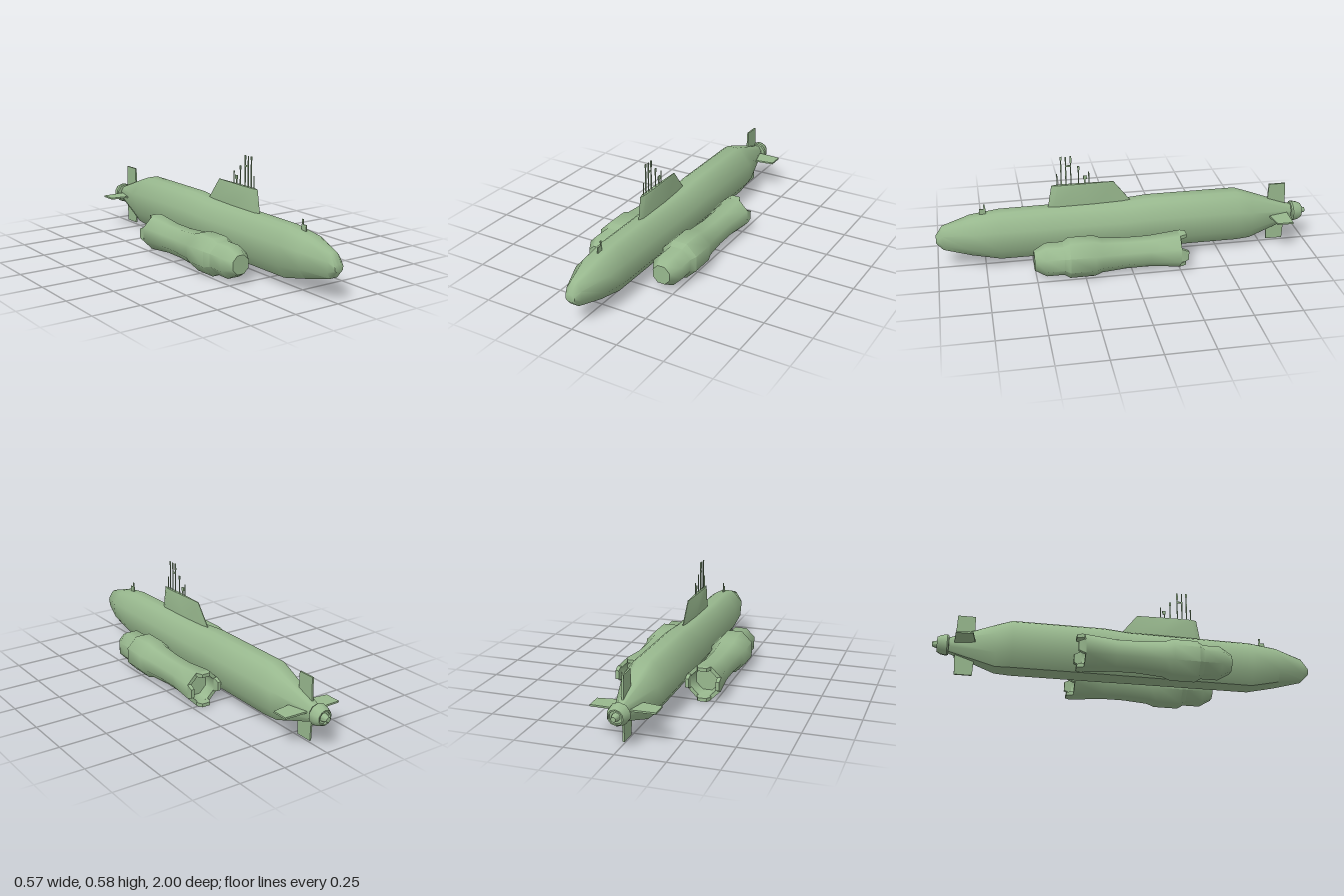
import * as THREE from 'three';
import { toCreasedNormals } from 'three/addons/utils/BufferGeometryUtils.js';

const material = new THREE.MeshStandardMaterial({ color: 0x98b88e });

function add(parent, name, geometry, x = 0, y = 0, z = 0) {
  const mesh = new THREE.Mesh(geometry, material);
  mesh.name = name;
  mesh.position.set(x, y, z);
  parent.add(mesh);
  return mesh;
}

// Skins counter-clockwise rings running front to back, and caps both ends
function loft(rings, crease = 0.9) {
  const n = rings[0].length, last = (rings.length - 1) * n, index = [];
  for (let i = 0; i < rings.length - 1; i++) {
    for (let j = 0; j < n; j++) {
      const a = i * n + j, b = i * n + (j + 1) % n, d = a + n, c = b + n;
      index.push(a, d, b, b, d, c);
    }
  }
  for (let j = 1; j < n - 1; j++) {
    index.push(0, j, j + 1, last, last + j + 1, last + j);
  }
  const g = new THREE.BufferGeometry();
  g.setAttribute('position', new THREE.Float32BufferAttribute(rings.flat(2), 3));
  g.setIndex(index);
  return toCreasedNormals(g, crease);
}

// Regular ring whose flat sides lie at distance `apothem` from the axis
function ring(apothem, z, sides = 8) {
  const r = apothem / Math.cos(Math.PI / sides);
  return Array.from({ length: sides }, (_, k) => {
    const a = (k + 0.5) * 2 * Math.PI / sides;
    return [r * Math.cos(a), r * Math.sin(a), z];
  });
}

// Hull cross-section: half outline from keel to deck, mirrored
const outline = [[0.5, 0], [0.92, 0.25], [1, 0.68], [0.5, 0.94], [0.28, 1]];
function hullRing([z, w, bottom, top]) {
  const half = outline.map(([u, v]) => [u * w, bottom + v * (top - bottom), z]);
  return [...half, ...half.map(([x, y]) => [-x, y, z]).reverse()];
}

// Plate cut from a (z, y) outline, centred on x = 0
function sidePlate(points, thickness) {
  const shape = new THREE.Shape(points.map(([z, y]) => new THREE.Vector2(-z, y)));
  const g = new THREE.ExtrudeGeometry(shape, { depth: thickness, bevelEnabled: false });
  return g.translate(0, 0, -thickness / 2).rotateY(Math.PI / 2);
}

function createPod() {
  const pod = new THREE.Group();
  // Body, turning inwards at the rear to form the nozzle recess
  const profile = [[0.048, 0.51], [0.08, 0.45], [0.08, 0.36], [0.0975, 0.33], [0.0975, 0.2],
    [0.084, 0.16], [0.075, 0.03], [0.075, -0.09], [0.089, -0.25], [0.07, -0.25], [0.06, -0.19]];
  add(pod, 'podBody', loft(profile.map(([r, z]) => ring(r, z))));
  // Tapered teeth around the nozzle
  const toothRing = (w, y0, y1, z) => [[-w, y0, z], [w, y0, z], [w, y1, z], [-w, y1, z]];
  for (let k = 0; k < 4; k++) {
    const tooth = loft([toothRing(0.037, 0.07, 0.089, -0.248), toothRing(0.034, 0.071, 0.091, -0.262),
      toothRing(0.023, 0.072, 0.09, -0.286)], 0.5);
    add(pod, 'nozzleTooth', tooth).rotation.z = k * Math.PI / 2;
  }
  return pod;
}

export function createModel() {
  const model = new THREE.Group();
  model.name = 'submarine';

  // Hull stations: z, half width, keel height, deck height
  const stations = [[1, 0.026, 0.15, 0.19], [0.965, 0.042, 0.115, 0.24], [0.82, 0.093, 0.083, 0.285],
    [0.67, 0.098, 0.05, 0.305], [0.4, 0.1, 0.05, 0.307], [0.02, 0.104, 0.05, 0.31],
    [-0.12, 0.108, 0.05, 0.322], [-0.6, 0.11, 0.05, 0.322], [-0.68, 0.092, 0.052, 0.295],
    [-0.93, 0.026, 0.135, 0.205]];
  add(model, 'hull', loft(stations.map(hullRing)));

  // Sail: plan outline narrowing to the rear, lofted upwards
  const sailRing = (front, back, y, w) => [[0, front], [w, front - 0.03], [w, back + 0.2],
    [0.002, back], [-0.002, back], [-w, back + 0.2], [-w, front - 0.03]].map(([x, z]) => [x, -z, y]);
  const sail = loft([sailRing(0.391, 0.065, 0.426, 0.009), sailRing(0.392, 0.058, 0.418, 0.012),
    sailRing(0.412, -0.035, 0.3, 0.012)].map(r => r.slice().reverse().map(([x, z, y]) => [-x, z, y])), 0.5);
  add(model, 'sail', sail.rotateX(-Math.PI / 2));

  // Periscopes and antennas: z, top height, thickness
  const masts = [[0.36, 0.49, 0.005], [0.338, 0.582, 0.006], [0.313, 0.582, 0.006], [0.287, 0.575, 0.005],
    [0.247, 0.525, 0.006], [0.215, 0.465, 0.006], [0.193, 0.49, 0.005]];
  for (const [z, top, t] of masts) {
    add(model, 'mast', new THREE.BoxGeometry(0.004, top - 0.41, t), 0, (top + 0.41) / 2, z);
  }
  for (const [z, y, h, d] of [[0.338, 0.575, 0.018, 0.01], [0.287, 0.566, 0.035, 0.009],
    [0.298, 0.53, 0.008, 0.024], [0.247, 0.515, 0.02, 0.01], [0.213, 0.46, 0.02, 0.018]]) {
    add(model, 'mastHead', new THREE.BoxGeometry(0.005, h, d), 0, y, z);
  }

  // Small sensor on the bow
  add(model, 'bowSensorBase', new THREE.BoxGeometry(0.005, 0.03, 0.034), 0, 0.308, 0.752);
  add(model, 'bowSensor', new THREE.BoxGeometry(0.004, 0.055, 0.008), 0, 0.321, 0.742);

  // Tail fins
  add(model, 'upperRudder', sidePlate([[-0.785, 0.235], [-0.79, 0.34], [-0.88, 0.34], [-0.885, 0.215]], 0.009));
  add(model, 'lowerRudder', sidePlate([[-0.785, 0.1], [-0.79, 0.012], [-0.88, 0.012], [-0.885, 0.13]], 0.009));
  for (const side of [1, -1]) {
    const plane = sidePlate([[-0.78, 0.045], [-0.785, 0.065], [-0.8, 0.162], [-0.886, 0.162], [-0.89, 0.025]], 0.009);
    add(model, side > 0 ? 'leftSternPlane' : 'rightSternPlane', plane.rotateZ(-side * Math.PI / 2), 0, 0.175, 0);
  }

  // Propulsor shroud with hub
  const shroud = [[0.02, -0.915], [0.048, -0.917], [0.053, -0.925], [0.048, -0.955], [0.037, -0.976],
    [0.031, -0.976], [0.031, -0.965], [0.02, -0.965], [0.017, -0.982], [0.012, -1]];
  add(model, 'propulsor', loft(shroud.map(([r, z]) => ring(r, z, 10)), 0.7), 0, 0.17, 0);

  // Side pods
  for (const side of [1, -1]) {
    const pod = createPod();
    pod.name = side > 0 ? 'leftPod' : 'rightPod';
    pod.position.set(side * 0.19, 0.0985, 0);
    model.add(pod);
  }
  return model;
}
